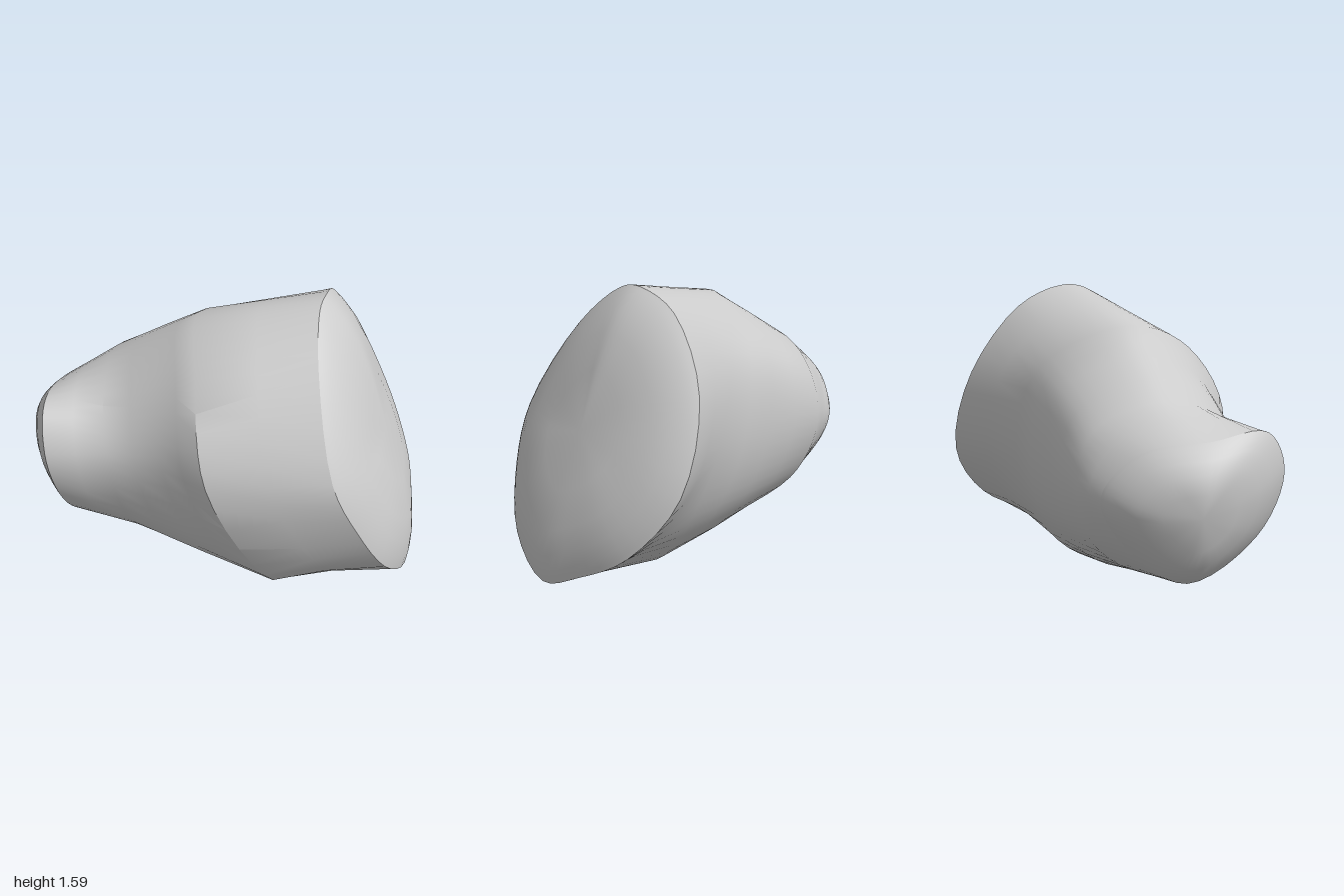
import * as THREE from 'three';
import { toCreasedNormals } from 'three/addons/utils/BufferGeometryUtils.js';

const SIDES = 48;
const v = (p) => new THREE.Vector3(...p);

// Closed smooth ring through control points that run bottom, right, top, left
// with the same number of points in each quarter.
function ring(points) {
  const curve = new THREE.CatmullRomCurve3(points.map(v), true, 'centripetal');
  return Array.from({ length: SIDES }, (_, i) => curve.getPoint(i / SIDES));
}

// Ring halfway between two key rings, so that the skin keeps even facets.
function halfway(a, b) {
  return a.map((p, i) => p.clone().lerp(b[i], 0.5));
}

// Domed rings that shrink from a rim to its centre.
function dome(rim, push, power) {
  const centre = rim.reduce((s, p) => s.add(p), new THREE.Vector3()).divideScalar(SIDES);
  return [0.97, 0.92, 0.82, 0.66, 0.4, 0].map((s) =>
    rim.map((p) => centre.clone().lerp(p, s).addScaledVector(push, 1 - s ** power)));
}

// Skin over a list of rings, ordered from front to back.
function loft(rings, name, crease) {
  const pos = [], index = [];
  rings.forEach((r) => r.forEach((p) => pos.push(p.x, p.y, p.z)));
  for (let i = 0; i < rings.length - 1; i++) {
    for (let j = 0; j < SIDES; j++) {
      const a = i * SIDES + j, b = i * SIDES + (j + 1) % SIDES;
      const c = a + SIDES, d = b + SIDES;
      index.push(a, c, b, b, c, d);
    }
  }
  const geo = new THREE.BufferGeometry();
  geo.setAttribute('position', new THREE.Float32BufferAttribute(pos, 3));
  geo.setIndex(index);
  const mesh = new THREE.Mesh(toCreasedNormals(geo, crease),
    new THREE.MeshStandardMaterial({ color: 0xcccccc }));
  mesh.name = name;
  return mesh;
}

export function createModel() {
  // Key cross-sections
  const front = ring([
    [0.28, 0.05, 0.94], [0.5, 0.13, 0.82], [0.74, 0.29, 0.64],
    [0.88, 0.62, 0.41], [0.77, 1.1, 0.26], [0.5, 1.47, 0.28],
    [0.27, 1.57, 0.37], [0.13, 1.55, 0.42], [-0.1, 1.33, 0.57],
    [-0.3, 0.85, 0.8], [-0.22, 0.55, 0.91], [-0.02, 0.23, 0.98]]);
  const waist = ring([
    [0.12, 0.0, 0.27], [0.42, 0.28, 0.18], [0.52, 0.75, 0.03], [0.38, 1.2, -0.1],
    [-0.08, 1.44, -0.2], [-0.43, 1.28, 0.03], [-0.65, 0.8, 0.25], [-0.31, 0.08, 0.45]]);
  const shoulder = ring([
    [-0.04, 0.05, -0.05], [0.28, 0.32, -0.2], [0.36, 0.73, -0.33], [0.26, 1.13, -0.38],
    [-0.15, 1.31, -0.4], [-0.46, 1.17, -0.2], [-0.62, 0.78, -0.05], [-0.43, 0.18, 0.06]]);
  const neck = ring([
    [-0.22, 0.11, -0.33], [0.1, 0.36, -0.6], [0.19, 0.7, -0.72], [0.1, 1.0, -0.7],
    [-0.25, 1.14, -0.66], [-0.57, 1.0, -0.48], [-0.69, 0.74, -0.36], [-0.54, 0.28, -0.34]]);
  const tail = ring([
    [-0.38, 0.18, -0.71], [-0.06, 0.4, -0.77], [0.07, 0.68, -0.83], [-0.13, 0.92, -0.87],
    [-0.48, 0.98, -0.87], [-0.78, 0.99, -0.72], [-0.88, 0.75, -0.63], [-0.75, 0.41, -0.62]]);

  const group = new THREE.Group();
  group.name = 'stump';
  // Domed front face with a rounded edge
  group.add(loft([...dome(front, v([0.05, 0.05, 0.12]), 4).reverse(), front], 'frontFace', 0.6));
  // Body from the front rim through the waist and neck to the tail
  group.add(loft([front, halfway(front, waist), waist, halfway(waist, shoulder), shoulder,
    halfway(shoulder, neck), neck, halfway(neck, tail), tail], 'body', 0.6));
  // Rounded tail end
  group.add(loft([tail, ...dome(tail, v([-0.01, -0.05, -0.23]), 2.6)], 'tailEnd', 0.6));
  return group;
}
